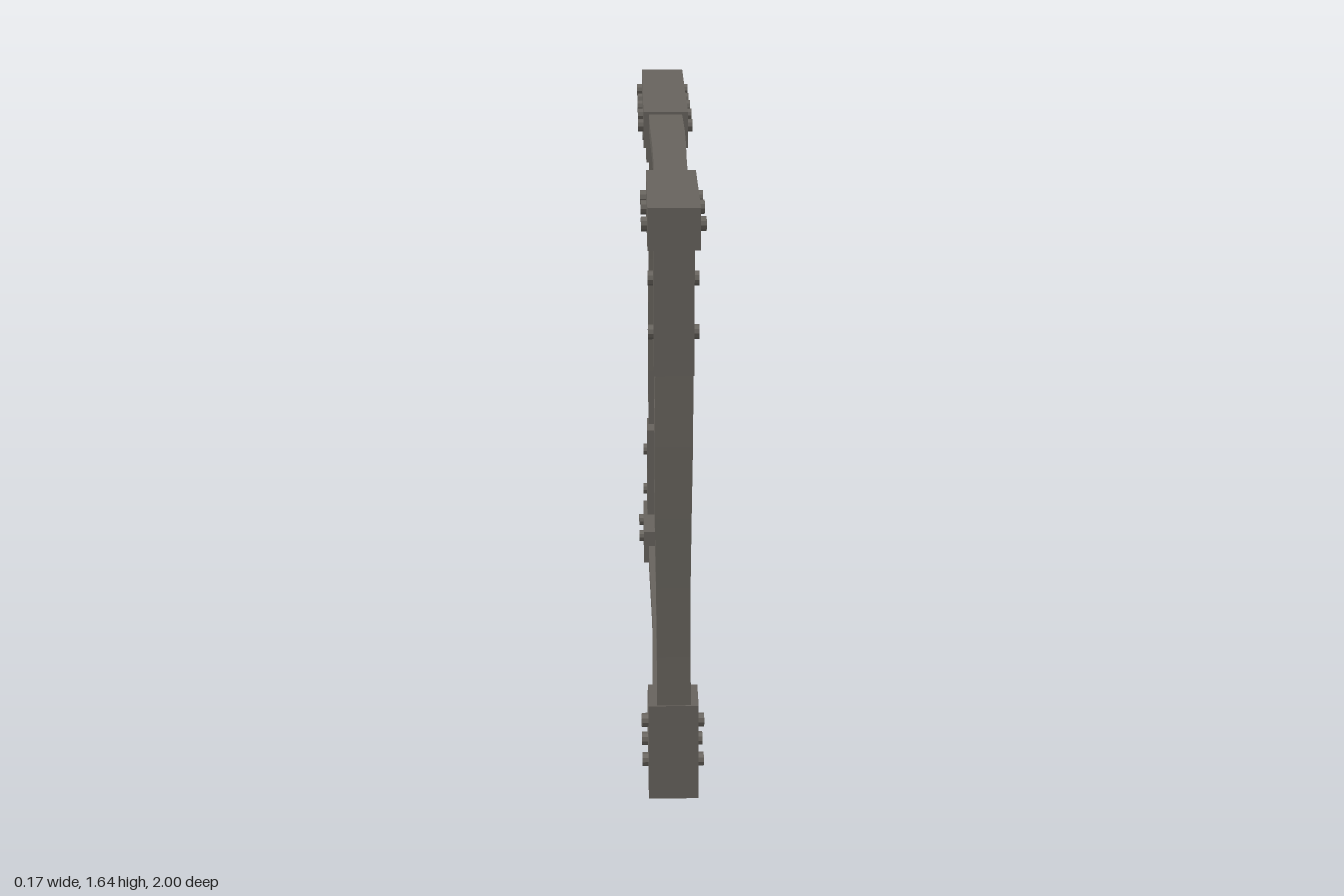
import * as THREE from 'three';

const wood = new THREE.MeshStandardMaterial({ color: 0x67635d, flatShading: true });
wood.name = 'weathered grey';

export function createModel() {
  const group = new THREE.Group();
  group.name = 'framedPanel';

  const add = (name, geometry) => {
    const mesh = new THREE.Mesh(geometry, wood);
    mesh.name = name;
    group.add(mesh);
    return mesh;
  };

  // Box centred on x = 0, from half thickness and its z and y extents
  const block = (name, half, z0, z1, y0, y1, segZ = 1, segY = 1) => {
    const g = new THREE.BoxGeometry(half * 2, y1 - y0, z1 - z0, 1, segY, segZ);
    g.translate(0, (y0 + y1) / 2, (z0 + z1) / 2);
    return add(name, g).geometry;
  };

  // Hand-hewn unevenness: gently shift vertices along the length of a beam
  const hew = (g, axis, seed) => {
    const p = g.attributes.position;
    for (let i = 0; i < p.count; i++) {
      const t = axis === 'y' ? p.getY(i) : p.getZ(i);
      const side = Math.sign(p.getX(i));
      p.setX(i, p.getX(i) + 0.003 * Math.sin(t * 5 + seed + side));
      if (axis === 'y') p.setZ(i, p.getZ(i) + 0.003 * Math.sin(t * 6 + seed * 2));
      else p.setY(i, p.getY(i) + 0.003 * Math.sin(t * 6 + seed * 2));
    }
    g.computeVertexNormals();
  };

  // Outer frame
  hew(block('frontPost', 0.047, 0.935, 0.996, 0.02, 1.6, 1, 8), 'y', 1);
  hew(block('backPost', 0.047, -0.992, -0.935, 0.02, 1.6, 1, 8), 'y', 2.5);
  hew(block('topRail', 0.048, -0.98, 0.98, 1.59, 1.634, 10), 'z', 0.6);
  hew(block('bottomRail', 0.048, -0.98, 0.98, 0.005, 0.058, 10), 'z', 3);

  // Thin core behind the seams, leaving the opening free
  block('upperCore', 0.012, -0.95, 0.95, 0.515, 1.6);
  block('lowerCore', 0.012, -0.95, 0.12, 0.04, 0.515);

  // Planks with bevelled edges
  const plank = (name, z0, z1, y0, y1) => {
    const b = 0.008, half = 0.03;
    const s = new THREE.Shape();
    s.moveTo(z0 + b, y0 + b);
    s.lineTo(z1 - b, y0 + b);
    s.lineTo(z1 - b, y1 - b);
    s.lineTo(z0 + b, y1 - b);
    s.closePath();
    const g = new THREE.ExtrudeGeometry(s, {
      depth: 2 * (half - b), bevelEnabled: true, bevelThickness: b, bevelSize: b, bevelSegments: 1,
    });
    g.translate(0, 0, b - half);
    g.rotateY(-Math.PI / 2);
    add(name, g);
  };
  plank('topPlank', -0.425, 0.945, 1.073, 1.595);
  plank('middlePlank', -0.425, 0.945, 0.538, 1.066);
  plank('backPlank', -0.945, -0.436, 0.542, 1.595);
  plank('lowerPlank', -0.945, 0.1, 0.05, 0.525);

  // Corner brackets: half thickness, z range, y range
  const brackets = [
    ['topFrontBracket', 0.067, 0.56, 1, 1.53, 1.64],
    ['topFrontLeg', 0.052, 0.865, 0.998, 1.2, 1.53],
    ['topBackBracket', 0.067, -1, -0.255, 1.53, 1.64],
    ['topBackLeg', 0.054, -0.998, -0.862, 1.355, 1.53],
    ['bottomFrontBracket', 0.067, 0.56, 1, 0, 0.115],
    ['bottomFrontLeg', 0.067, 0.865, 1, 0.115, 0.275],
    ['bottomBackBracket', 0.067, -1, -0.695, 0, 0.112],
    ['bottomBackLeg', 0.054, -0.998, -0.862, 0.112, 0.42],
  ];
  brackets.forEach((b) => block(...b));

  // Bolts passing through the brackets: z, y, half length
  const bolts = [
    [0.94, 1.585, 0.083], [0.79, 1.593, 0.083], [0.643, 1.585, 0.083],
    [-0.34, 1.583, 0.083], [-0.465, 1.592, 0.083], [-0.64, 1.585, 0.083],
    [-0.8, 1.578, 0.083], [-0.93, 1.585, 0.083],
    [0.927, 1.44, 0.066], [0.936, 1.3, 0.066], [-0.915, 1.44, 0.066],
    [0.91, 0.073, 0.084], [0.788, 0.075, 0.084], [0.655, 0.066, 0.084], [0.927, 0.2, 0.084],
    [-0.778, 0.067, 0.082], [-0.928, 0.067, 0.082], [-0.926, 0.185, 0.067], [-0.926, 0.33, 0.067],
  ];
  bolts.forEach(([z, y, half]) => {
    const g = new THREE.CylinderGeometry(0.019, 0.019, half * 2, 10);
    g.rotateZ(Math.PI / 2);
    add('bolt', g).position.set(0, y, z);
  });

  return group;
}
